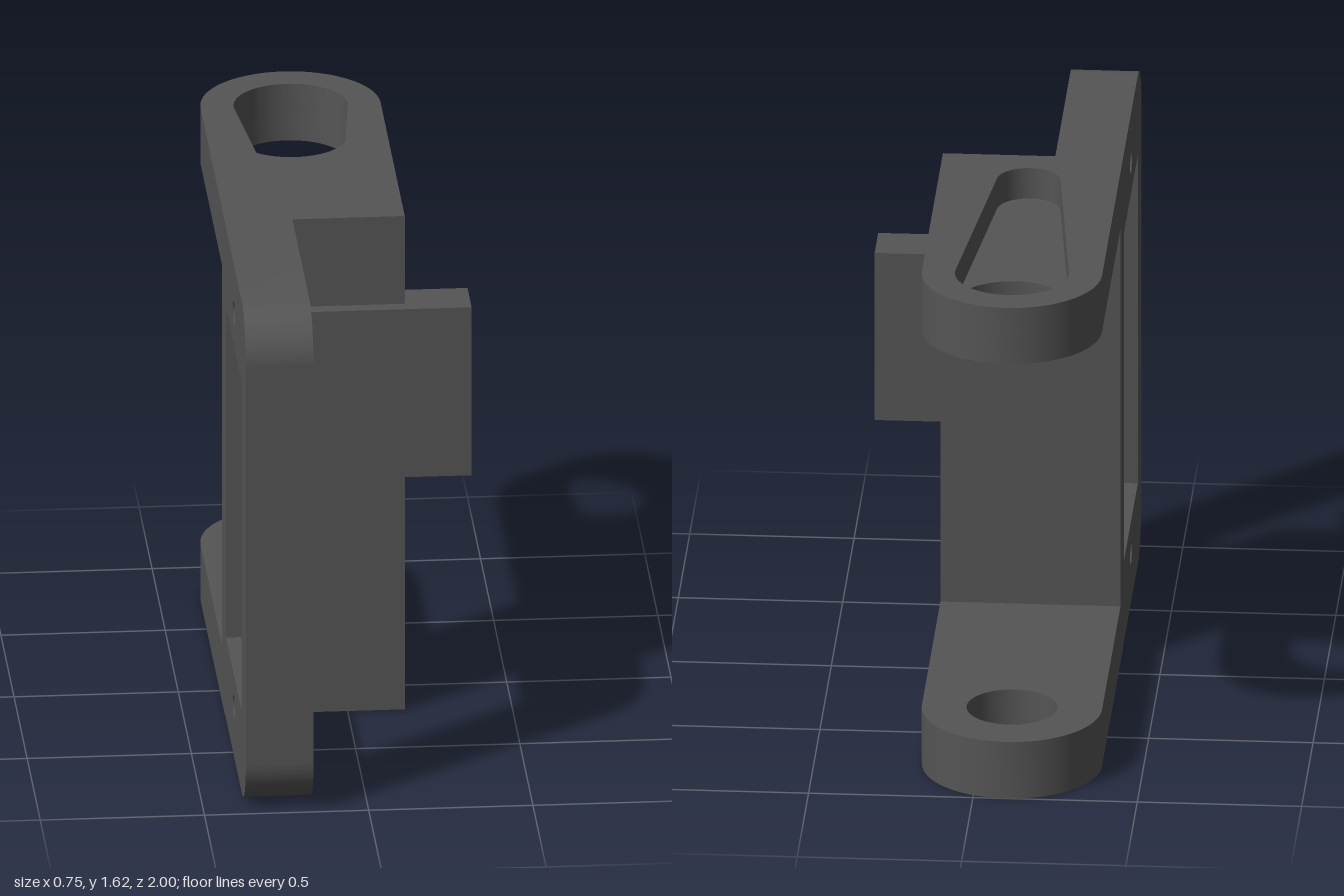
import * as THREE from 'three';
import { toCreasedNormals } from 'three/addons/utils/BufferGeometryUtils.js';

const material = new THREE.MeshStandardMaterial({ color: 0x555555 });

// Main dimensions
const H = 1.615;                         // overall height
const XL = -0.374, XR = 0.174;           // arm sides
const CX = -0.1, PIVOT = 0.726;          // pivot centre, PIVOT measured towards the back
const PLATE_X = -0.168;                  // inner face of the side plate
const WEB_BACK = 0.083, WEB_FRONT = 0.195;

function extrude(shape, depth) {
  return new THREE.ExtrudeGeometry(shape, { depth, bevelEnabled: false, curveSegments: 32 });
}

function add(group, name, geometry) {
  const mesh = new THREE.Mesh(toCreasedNormals(geometry, Math.PI / 6), material);
  mesh.name = name;
  group.add(mesh);
}

// Plan shape drawn in (x, -z), raised from y0 to y1
function slab(shape, y0, y1) {
  return extrude(shape, y1 - y0).rotateX(-Math.PI / 2).translate(0, y0, 0);
}

function circle(x, y, r) {
  return new THREE.Path().absarc(x, y, r, 0, Math.PI * 2, false);
}

// Arm outline with a rounded back end
function armShape(hole) {
  const s = new THREE.Shape();
  s.moveTo(XL, -WEB_FRONT);
  s.lineTo(XR, -WEB_FRONT);
  s.absarc(CX, PIVOT, (XR - XL) / 2, 0, Math.PI, false);
  s.closePath();
  s.holes.push(hole);
  return s;
}

// Tapered pocket: a large and a small circle joined by tangents
function pocketPath(rBig, rSmall) {
  const tilt = Math.asin((rBig - rSmall) / PIVOT);
  const p = new THREE.Path();
  p.absarc(CX, PIVOT, rBig, -tilt, Math.PI + tilt, false);
  p.absarc(CX, 0, rSmall, Math.PI + tilt, 2 * Math.PI - tilt, false);
  p.closePath();
  return p;
}

// Side plate drawn in (z, y) with rounded front corners, window and screw holes
function plateGeometry() {
  const r = 0.155, y0 = 0.006;
  const s = new THREE.Shape();
  s.moveTo(WEB_FRONT, H);
  s.lineTo(WEB_FRONT, y0);
  s.absarc(1 - r, y0 + r, r, -Math.PI / 2, 0, false);
  s.absarc(1 - r, H - r, r, 0, Math.PI / 2, false);
  s.closePath();
  const w = new THREE.Path();
  w.moveTo(0.243, 0.272);
  w.lineTo(0.843, 0.272);
  w.lineTo(0.843, 1.352);
  w.lineTo(0.243, 1.352);
  w.closePath();
  s.holes.push(w);
  for (const y of [0.168, 1.455]) s.holes.push(circle(0.545, y, 0.037));
  return extrude(s, PLATE_X - XL).rotateY(-Math.PI / 2).translate(PLATE_X, 0, 0);
}

// Stop tab, L-shaped in plan so that it wraps the edge of the web
function tabGeometry() {
  const s = new THREE.Shape([
    [PLATE_X, -0.24], [0.374, -0.24], [0.374, -WEB_BACK],
    [XR, -WEB_BACK], [XR, -WEB_FRONT], [PLATE_X, -WEB_FRONT],
  ].map(([x, y]) => new THREE.Vector2(x, y)));
  return slab(s, 0.778, 1.328);
}

export function createModel() {
  const group = new THREE.Group();
  group.name = 'bracket';

  add(group, 'sidePlate', plateGeometry());

  // Web between the two arms
  const low = 0.186, high = 1.43, floor = 1.515;
  add(group, 'web', new THREE.BoxGeometry(XR - XL, high - low, WEB_FRONT - WEB_BACK)
    .translate((XL + XR) / 2, (low + high) / 2, (WEB_FRONT + WEB_BACK) / 2));

  add(group, 'stopTab', tabGeometry());

  // Bottom arm with plain pivot hole
  add(group, 'bottomArm', slab(armShape(circle(CX, PIVOT, 0.138)), 0, low));

  // Top arm: floor layer with round hole, upper layer with the tapered pocket
  const topArm = new THREE.Group();
  topArm.name = 'topArm';
  add(topArm, 'pocketFloor', slab(armShape(circle(CX, PIVOT, 0.173)), high, floor));
  add(topArm, 'pocketRim', slab(armShape(pocketPath(0.173, 0.097)), floor, H));
  group.add(topArm);

  return group;
}
